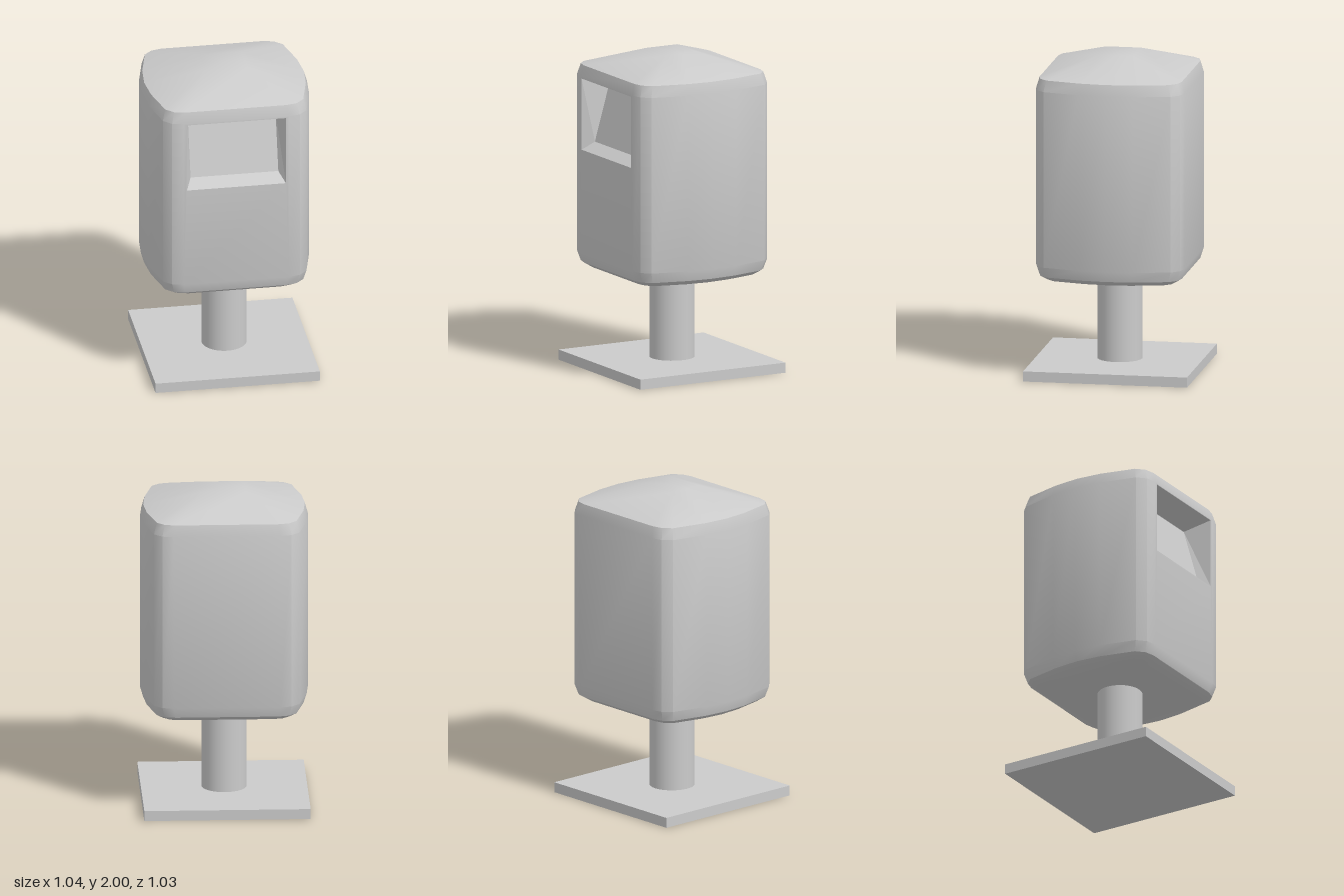
import * as THREE from 'three';
import { toCreasedNormals } from 'three/addons/utils/BufferGeometryUtils.js';

const HALF_X = 0.52, HALF_Z = 0.467;
const material = new THREE.MeshStandardMaterial({ color: 0xcccccc });

// Plan outline, counter-clockwise from above, starting at the front's left end
function planOutline() {
  const q = [[0.33, HALF_Z], [0.4, 0.45], [0.45, 0.4], [0.505, 0.17], [HALF_X, 0]];
  const half = [...q, ...q.slice(0, 4).reverse().map(([x, z]) => [x, -z])];
  return [...half, ...half.map(([x, z]) => [-x, -z])]
    .filter((p, i, a) => i === 0 || p[0] !== a[i - 1][0] || p[1] !== a[i - 1][1]);
}

function creased(positions, angle) {
  const g = new THREE.BufferGeometry();
  g.setAttribute('position', new THREE.Float32BufferAttribute(positions, 3));
  return toCreasedNormals(g, angle);
}

// Adds a triangle unless two of its corners coincide
function addTri(out, a, b, c) {
  const same = (p, q) => p.every((v, i) => Math.abs(v - q[i]) < 1e-6);
  if (!same(a, b) && !same(b, c) && !same(a, c)) out.push(...a, ...b, ...c);
}

function addQuad(out, a, b, c, d) {
  addTri(out, a, b, c);
  addTri(out, a, c, d);
}

// Slot corners, counter-clockwise seen from the front
const SLOT = [[-0.31, 1.36], [0.31, 1.36], [0.31, 1.81], [-0.31, 1.81]];

function bodyGeometry() {
  const out = [];
  const plan = planOutline();
  const n = plan.length;
  const inset = (y, d) => plan.map(([x, z]) =>
    [x * (1 - d / HALF_X), y, z * (1 - d / HALF_Z)]);
  const clamp = THREE.MathUtils.clamp;
  // Hipped roof: the outline collapses onto a small flat rectangle
  const roofTop = plan.map(([x, z]) => [clamp(x, -0.13, 0.13), 2, clamp(z, -0.11, 0.11)]);
  const rings = [
    inset(0.615, 0.065), inset(0.645, 0.02), inset(0.71, 0),
    inset(1.82, 0), inset(1.89, 0.02), roofTop,
  ];
  for (let r = 0; r < rings.length - 1; r++) {
    for (let k = 0; k < n; k++) {
      const m = (k + 1) % n;
      if (r === 2 && k === n - 1) continue; // front wall is added with its slot
      addQuad(out, rings[r][k], rings[r][m], rings[r + 1][m], rings[r + 1][k]);
    }
  }
  // Underside and roof flat
  for (let k = 0; k < n; k++) {
    const m = (k + 1) % n;
    addTri(out, [0, 0.615, 0], rings[0][m], rings[0][k]);
    addTri(out, [0, 2, 0], roofTop[k], roofTop[m]);
  }
  // Front wall with the slot cut out
  const points = (list) => list.map(([x, y]) => new THREE.Vector2(x, y));
  const wall = new THREE.Shape(points([[-0.33, 0.71], [0.33, 0.71], [0.33, 1.82], [-0.33, 1.82]]));
  wall.holes.push(new THREE.Path(points(SLOT)));
  const face = new THREE.ShapeGeometry(wall).translate(0, 0, HALF_Z).toNonIndexed();
  out.push(...face.attributes.position.array);
  return creased(out, THREE.MathUtils.degToRad(35));
}

// Bevelled recess whose back panel leans inwards at the top
function slotGeometry() {
  const out = [];
  const outer = SLOT.map(([x, y]) => [x, y, HALF_Z]);
  const inner = [[-0.275, 1.41, 0.392], [0.275, 1.41, 0.392], [0.275, 1.76, 0.292], [-0.275, 1.76, 0.292]];
  for (let k = 0; k < 4; k++) {
    const m = (k + 1) % 4;
    addQuad(out, outer[k], outer[m], inner[m], inner[k]);
  }
  addQuad(out, ...inner);
  return creased(out, 0.1);
}

export function createModel() {
  const group = new THREE.Group();
  group.name = 'pedestalBox';
  const add = (name, geometry, y = 0) => {
    const mesh = new THREE.Mesh(geometry, material);
    mesh.name = name;
    mesh.position.y = y;
    group.add(mesh);
  };
  add('basePlate', new THREE.BoxGeometry(1.03, 0.064, 1.03), 0.032);
  add('post', new THREE.CylinderGeometry(0.14, 0.14, 0.57, 32), 0.34);
  add('body', bodyGeometry());
  add('slotRecess', slotGeometry());
  return group;
}
